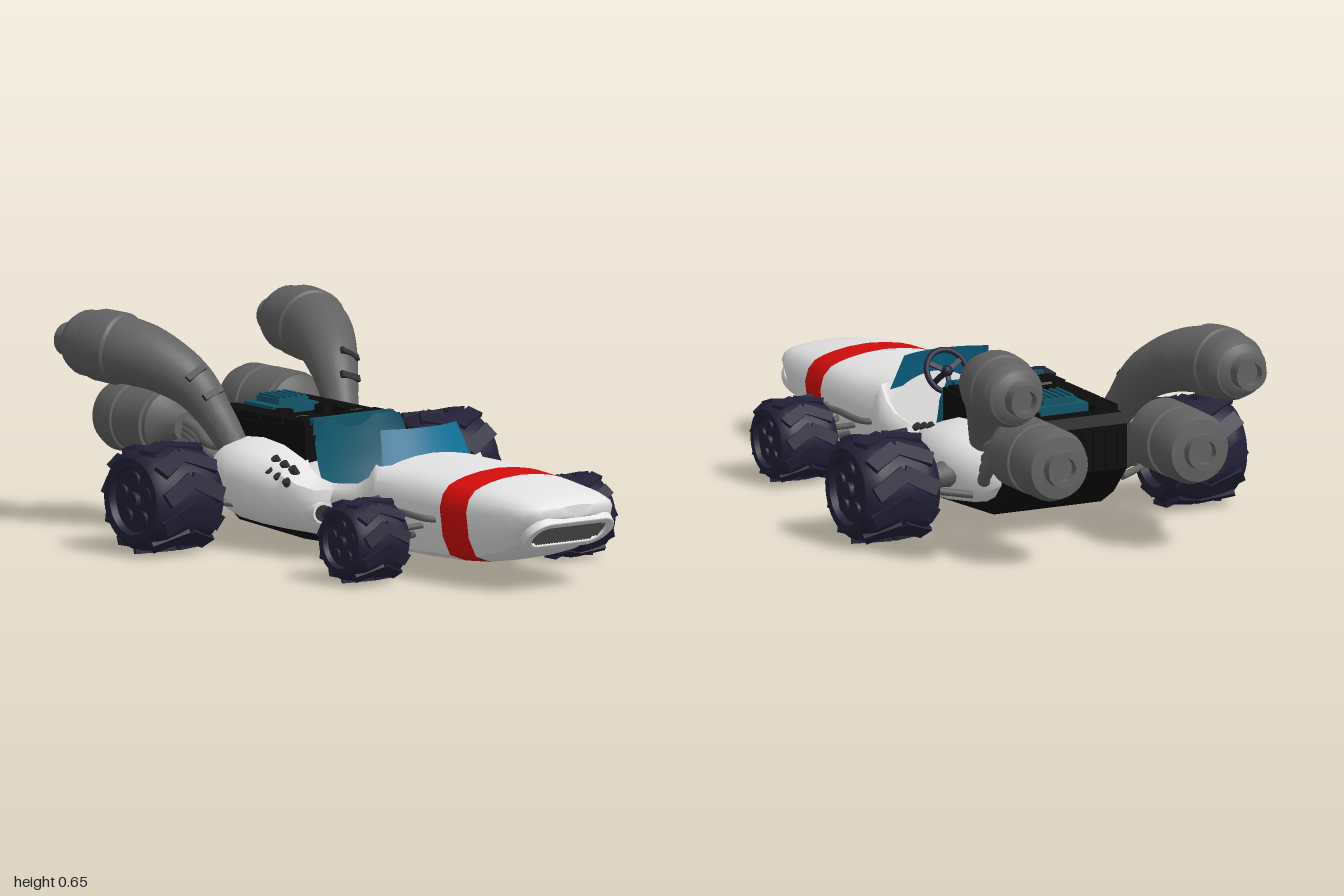
import * as THREE from 'three';
import { toCreasedNormals } from 'three/addons/utils/BufferGeometryUtils.js';

const mat = (name, color, side = THREE.FrontSide) => {
  const m = new THREE.MeshStandardMaterial({ color, side });
  m.name = name;
  return m;
};
const V = (x, y, z) => new THREE.Vector3(x, y, z);

export function createModel() {
  const car = new THREE.Group();
  const white = mat('white paint', 0xe4e4e4), red = mat('red stripe', 0xd40c0c);
  const navy = mat('navy rubber', 0x222036), grey = mat('grey metal', 0x626262);
  const black = mat('black engine', 0x0b0b0b), dark = mat('dark openings', 0x303030);
  const glass = mat('blue glass', 0x0f7096, THREE.DoubleSide);
  const teal = mat('teal trim', 0x10556a, THREE.DoubleSide);

  const add = (name, geo, m, x = 0, y = 0, z = 0, parent = car) => {
    const mesh = new THREE.Mesh(geo, m);
    mesh.name = name;
    mesh.position.set(x, y, z);
    parent.add(mesh);
    return mesh;
  };
  const box = (name, m, w, h, d, x, y, z, parent) => add(name, new THREE.BoxGeometry(w, h, d), m, x, y, z, parent);
  const lathe = (pts, n = 32) =>
    toCreasedNormals(new THREE.LatheGeometry(pts.map(p => new THREE.Vector2(...p)), n), 0.6);
  const rod = (name, m, a, b, r1, r2 = r1) => {
    const mesh = add(name, new THREE.CylinderGeometry(r2, r1, a.distanceTo(b), 14), m);
    mesh.position.copy(a).lerp(b, 0.5);
    mesh.quaternion.setFromUnitVectors(V(0, 1, 0), b.clone().sub(a).normalize());
    return mesh;
  };
  const pipe = (name, m, pts, r) =>
    add(name, new THREE.TubeGeometry(new THREE.CatmullRomCurve3(pts), 24, r, 10), m);

  // Body shell: z, half width, bottom, top, height of widest point, open cockpit
  const rows = [
    [0.995, 0.07, 0.225, 0.26, 0.245, 0], [0.98, 0.13, 0.205, 0.27, 0.24, 0],
    [0.95, 0.163, 0.175, 0.28, 0.235, 0], [0.9, 0.18, 0.13, 0.29, 0.23, 0],
    [0.84, 0.19, 0.095, 0.3, 0.225, 0], [0.72, 0.207, 0.06, 0.314, 0.22, 0],
    [0.605, 0.217, 0.05, 0.32, 0.22, 0], [0.45, 0.22, 0.043, 0.325, 0.22, 0],
    [0.29, 0.22, 0.042, 0.325, 0.22, 0], [0.265, 0.22, 0.042, 0.305, 0.22, 1],
    [0.23, 0.222, 0.043, 0.262, 0.2, 1], [0.18, 0.223, 0.044, 0.237, 0.19, 1],
    [0.085, 0.227, 0.046, 0.225, 0.18, 1], [0.05, 0.268, 0.048, 0.223, 0.17, 1],
    [-0.02, 0.285, 0.05, 0.233, 0.18, 1], [-0.08, 0.3, 0.05, 0.262, 0.19, 1],
    [-0.1, 0.304, 0.05, 0.285, 0.19, 0], [-0.2, 0.325, 0.055, 0.318, 0.2, 0],
    [-0.3, 0.33, 0.062, 0.328, 0.21, 0], [-0.38, 0.315, 0.08, 0.322, 0.21, 0],
    [-0.43, 0.28, 0.1, 0.31, 0.21, 0], [-0.47, 0.22, 0.14, 0.29, 0.21, 0]];
  const ring = ([z, w, yb, yt, ym, open]) => {
    const lo = ym - yb, up = yt - ym, floor = 0.105;
    const low = [[0, yb], [0.55 * w, yb + 0.02 * lo], [0.82 * w, yb + 0.15 * lo], [0.95 * w, yb + 0.5 * lo], [w, ym]];
    const top = open
      ? [[0.95 * w, ym + 0.65 * up], [0.195, yt], [0.18, yt - 0.008], [0.172, floor + 0.03], [0.13, floor], [0, floor]]
      : [[0.95, 0.4], [0.84, 0.66], [0.7, 0.78], [0.55, 0.87], [0.3, 0.96], [0, 1]].map(([a, b]) => [a * w, ym + b * up]);
    const half = [...low, ...top];
    const other = half.slice(1, -1).reverse().map(([x, y]) => [-x, y]);
    return [...half, ...other].flatMap(([x, y]) => [x, y, z]);
  };
  const n = 20, index = [], last = (rows.length - 1) * n;
  for (let j = 1; j < n - 1; j++) index.push(0, j, j + 1);
  const starts = [0];
  for (let i = 0; i < rows.length - 1; i++) {
    if (i === 5 || i === 6) starts.push(index.length);
    for (let j = 0; j < n; j++) {
      const k = (j + 1) % n, a = i * n + j, b = i * n + k;
      index.push(a, a + n, b, b, a + n, b + n);
    }
  }
  for (let j = 1; j < n - 1; j++) index.push(last, last + j + 1, last + j);
  const shell = new THREE.BufferGeometry();
  shell.setAttribute('position', new THREE.Float32BufferAttribute(rows.flatMap(ring), 3));
  shell.setIndex(index);
  starts.forEach((s, i) => shell.addGroup(s, (starts[i + 1] ?? index.length) - s, i === 1 ? 1 : 0));
  add('bodyShell', toCreasedNormals(shell, 0.75), [white, red]);

  // Nose grille set into the sloping chin
  const slot = (S, w, h) => {
    const s = new S(), r = h / 2;
    s.absarc(w / 2 - r, 0, r, -Math.PI / 2, Math.PI / 2);
    s.absarc(-w / 2 + r, 0, r, Math.PI / 2, Math.PI * 1.5);
    s.closePath();
    return s;
  };
  const grille = new THREE.Group();
  grille.name = 'grille';
  grille.position.set(0, 0.172, 0.946);
  grille.rotation.x = 0.8;
  car.add(grille);
  const lip = slot(THREE.Shape, 0.31, 0.125);
  lip.holes.push(slot(THREE.Path, 0.275, 0.095));
  add('grilleLip', new THREE.ExtrudeGeometry(lip, { depth: 0.02, bevelSize: 0.004, bevelThickness: 0.004, bevelSegments: 2 }), white, 0, 0, -0.012, grille);
  add('grilleBack', new THREE.ExtrudeGeometry(slot(THREE.Shape, 0.28, 0.1), { depth: 0.008, bevelEnabled: false }), dark, 0, 0, -0.008, grille);
  for (let i = -12; i <= 12; i++)
    box('grilleSlat', grey, 0.005, Math.abs(i) > 10 ? 0.06 : 0.09, 0.008, i * 0.01, 0, 0.003, grille);

  // Engine block and floor pan share one side profile
  const side = new THREE.Shape([[0.17, 0.042], [-0.1, 0.034], [-0.42, 0.052], [-0.5, 0.1], [-0.585, 0.19], [-0.585, 0.325],
    [-0.55, 0.352], [-0.3, 0.357], [-0.1, 0.372], [-0.095, 0.06], [0.16, 0.06]].map(p => new THREE.Vector2(...p)));
  const block = new THREE.ExtrudeGeometry(side, { depth: 0.36, bevelEnabled: false });
  block.rotateY(-Math.PI / 2);
  add('engineBlock', block, black, 0.18);
  for (const s of [1, -1]) {
    for (let i = 0; i < 3; i++) box('engineCover', black, 0.075, 0.022, 0.1, s * 0.13, 0.366, -0.28 - i * 0.11);
    box('engineFront', black, 0.15, 0.03, 0.1, s * 0.095, 0.365, -0.165);
    box('engineClip', grey, 0.04, 0.006, 0.01, s * 0.1, 0.377, -0.217);
    add('fillerCap', new THREE.CylinderGeometry(0.028, 0.028, 0.03, 20), black, s * 0.075, 0.366, -0.34);
    for (let i = 0; i < 4; i++) box('engineRib', black, 0.012, 0.11, 0.014, s * (0.03 + i * 0.04), 0.25, -0.588);
  }
  box('intakeCover', teal, 0.17, 0.025, 0.14, 0, 0.372, -0.45);
  box('intakeTop', teal, 0.11, 0.02, 0.11, 0, 0.392, -0.445);
  for (let i = -2; i <= 2; i++) box('intakeRib', teal, 0.01, 0.01, 0.1, i * 0.022, 0.404, -0.445);

  // Bucket seat: a sheet bent along a side profile
  const seatLine = new THREE.CatmullRomCurve3([V(0, 0.13, 0.2), V(0, 0.125, 0.1), V(0, 0.145, 0.0), V(0, 0.23, -0.06), V(0, 0.32, -0.09), V(0, 0.385, -0.105)]);
  const seat = new THREE.PlaneGeometry(2, 1, 16, 20), sp = seat.attributes.position;
  for (let i = 0; i < sp.count; i++) {
    const u = sp.getX(i), t = sp.getY(i) + 0.5, p = seatLine.getPoint(t);
    const w = 0.172 * Math.sqrt(Math.min(1, 0.12 + t * 3)) * (1 - 0.12 * Math.max(0, t - 0.8) * 5 * u * u);
    sp.setXYZ(i, u * w, p.y + 0.03 * u * u * (1 - t), p.z + 0.035 * u * u * t);
  }
  seat.computeVertexNormals();
  add('seat', seat, teal);
  box('headrest', teal, 0.3, 0.05, 0.02, 0, 0.365, -0.108);

  // Windscreen and steering wheel
  add('windscreen', new THREE.CylinderGeometry(0.285, 0.335, 0.11, 20, 1, true, -0.52, 1.04), glass, 0, 0.342, -0.03);
  const steer = new THREE.Group();
  steer.name = 'steeringWheel';
  steer.position.set(0, 0.335, 0.215);
  steer.rotation.x = 0.49;
  car.add(steer);
  add('wheelRim', new THREE.TorusGeometry(0.066, 0.009, 8, 28), navy, 0, 0, 0, steer);
  for (let i = 0; i < 3; i++) {
    const a = -Math.PI / 2 + i * Math.PI * 2 / 3;
    box('wheelSpoke', navy, 0.065, 0.014, 0.008, Math.cos(a) * 0.033, Math.sin(a) * 0.033, 0, steer).rotation.z = a;
  }
  add('wheelHub', new THREE.SphereGeometry(0.018, 14, 10), navy, 0, 0, 0, steer);
  rod('steeringColumn', navy, V(0, 0.335, 0.215), V(0, 0.26, 0.33), 0.009);

  // Tyres with chevron tread and five-hole rims; outer face is +x
  const wheel = (name, r, w, x, z) => {
    const g = new THREE.Group(), h = w / 2, b = r * 0.965;
    g.name = name;
    g.position.set(x, r, z);
    if (x < 0) g.rotation.y = Math.PI;
    car.add(g);
    const tyre = lathe([[0, -h * 0.8], [r * 0.6, -h * 0.8], [r * 0.64, -h], [r * 0.8, -h], [b * 0.96, -h * 0.82], [b, -h * 0.6],
      [b, h * 0.6], [b * 0.96, h * 0.82], [r * 0.8, h], [r * 0.64, h], [r * 0.6, h * 0.84], [0, h * 0.84]], 40);
    tyre.rotateZ(-Math.PI / 2);
    add('tyre', tyre, navy, 0, 0, 0, g);
    for (let i = 0; i < 11; i++) {
      const pivot = new THREE.Group();
      pivot.name = 'chevron';
      pivot.rotation.x = i * Math.PI * 2 / 11;
      g.add(pivot);
      for (const s of [1, -1]) box('treadBar', navy, w * 0.48, r * 0.3, r * 0.09, s * w * 0.2, 0, r * 0.95, pivot).rotation.z = s * 0.5;
    }
    const disc = (label, rad, d, px, y, dz) =>
      add(label, new THREE.CylinderGeometry(rad, rad, d, 20), navy, px, y, dz, g).rotation.z = Math.PI / 2;
    disc('hub', r * 0.16, h * 0.24, h * 0.86, 0, 0);
    for (let i = 0; i < 5; i++) {
      const a = i * Math.PI * 0.4;
      disc('rimBoss', r * 0.15, h * 0.12, h * 0.86, Math.cos(a) * r * 0.39, Math.sin(a) * r * 0.39);
    }
  };

  for (const s of [1, -1]) {
    wheel('rearWheel', 0.16, 0.25, s * 0.515, -0.35);
    wheel('frontWheel', 0.122, 0.19, s * 0.384, 0.455);

    // Axles, suspension arms and the rail beside the nose
    rod('rearAxle', grey, V(s * 0.29, 0.18, -0.355), V(s * 0.4, 0.165, -0.355), 0.045, 0.022);
    rod('frontAxle', grey, V(s * 0.17, 0.13, 0.455), V(s * 0.3, 0.122, 0.455), 0.018);
    for (const d of [-0.07, 0.07]) {
      rod('frontArm', grey, V(s * 0.18, 0.16, 0.455 + d), V(s * 0.3, 0.14, 0.455), 0.009);
      rod('rearArm', grey, V(s * 0.25, 0.12, -0.35 + d), V(s * 0.4, 0.14, -0.35), 0.011);
    }
    pipe('sideRail', grey, [V(s * 0.205, 0.19, 0.285), V(s * 0.235, 0.19, 0.31), V(s * 0.238, 0.19, 0.45), V(s * 0.236, 0.185, 0.55), V(s * 0.205, 0.18, 0.575)], 0.01);

    // Side scoop and cooling holes on the rear pods
    rod('scoop', white, V(s * 0.235, 0.14, 0.02), V(s * 0.25, 0.14, 0.08), 0.034, 0.032);
    rod('scoopOpening', dark, V(s * 0.25, 0.14, 0.08), V(s * 0.251, 0.14, 0.084), 0.025);
    for (let i = 0; i < 6; i++) {
      const row = i % 2, z = -0.055 - (i >> 1) * 0.042 - row * 0.012;
      const p = V(s * (row ? 0.25 : 0.283), (row ? 0.25 : 0.22) + (-0.055 - z) * 0.24, z);
      rod('coolingHole', dark, p.clone().add(V(s * -0.012, -0.016, 0)), p.clone().add(V(s * 0.004, 0.005, 0)), 0.013);
    }

    // Upper exhaust: a swelling tube with raised bands
    const path = new THREE.CatmullRomCurve3([V(s * 0.205, 0.27, -0.41), V(s * 0.232, 0.36, -0.465), V(s * 0.265, 0.45, -0.54),
      V(s * 0.315, 0.512, -0.65), V(s * 0.36, 0.537, -0.78), V(s * 0.378, 0.538, -0.945)]);
    const radii = [[0, 0.045], [0.18, 0.055], [0.4, 0.078], [0.6, 0.096], [0.72, 0.102], [0.73, 0.109], [0.84, 0.108], [0.85, 0.102], [0.94, 0.098], [0.98, 0.085], [1, 0.05]];
    const radius = t => {
      const i = Math.max(1, radii.findIndex(q => q[0] >= t - 1e-6)), [a, b] = [radii[i - 1], radii[i]];
      return THREE.MathUtils.mapLinear(t, a[0], b[0], a[1], b[1]);
    };
    const tube = new THREE.TubeGeometry(path, 100, 1, 28), tp = tube.attributes.position, tn = tube.attributes.normal;
    const p = new THREE.Vector3(), q = new THREE.Vector3();
    for (let i = 0; i < tp.count; i++) {
      q.fromBufferAttribute(tn, i);
      p.fromBufferAttribute(tp, i).addScaledVector(q, radius(Math.floor(i / 29) / 100) - 1);
      tp.setXYZ(i, p.x, p.y, p.z);
    }
    add('upperExhaust', toCreasedNormals(tube, 0.6), grey);
    const tip = lathe([[0.08, -0.005], [0.06, 0.01], [0.05, 0.012], [0.05, 0.055], [0.034, 0.055], [0.034, 0.025], [0, 0.025]]);
    tip.rotateX(-Math.PI / 2);
    add('exhaustTip', tip, grey, s * 0.378, 0.538, -0.945);
    for (const t of [0.24, 0.34]) {
      const tan = path.getTangentAt(t), out = V(0, 0, 1).addScaledVector(tan, -tan.z).normalize();
      const vent = box('exhaustVent', dark, 0.07, 0.02, 0.012, 0, 0, 0);
      vent.position.copy(path.getPointAt(t)).addScaledVector(out, radius(t) - 0.004);
      vent.quaternion.setFromRotationMatrix(new THREE.Matrix4().makeBasis(tan.clone().cross(out), tan, out));
    }

    // Lower muffler fed by bundled header pipes
    const muffler = lathe([[0, 0], [0.045, 0], [0.06, 0.035], [0.09, 0.065], [0.1, 0.075], [0.1, 0.09], [0.11, 0.092], [0.11, 0.21], [0.103, 0.212],
      [0.103, 0.232], [0.109, 0.234], [0.109, 0.3], [0.095, 0.335], [0.055, 0.34], [0.055, 0.37], [0.036, 0.37], [0.036, 0.345], [0, 0.345]]);
    muffler.rotateX(-Math.PI / 2);
    add('muffler', muffler, grey, s * 0.235, 0.31, -0.605);
    for (let i = 0; i < 4; i++) {
      const y = 0.17 + i * 0.035;
      pipe('headerPipe', grey, [V(s * 0.17, y, -0.4 - i * 0.02), V(s * 0.235, y, -0.46 - i * 0.01), V(s * (0.245 - i * 0.005), 0.25 + i * 0.018, -0.55), V(s * 0.235, 0.285 + i * 0.016, -0.64)], 0.019);
    }
  }
  return car;
}
